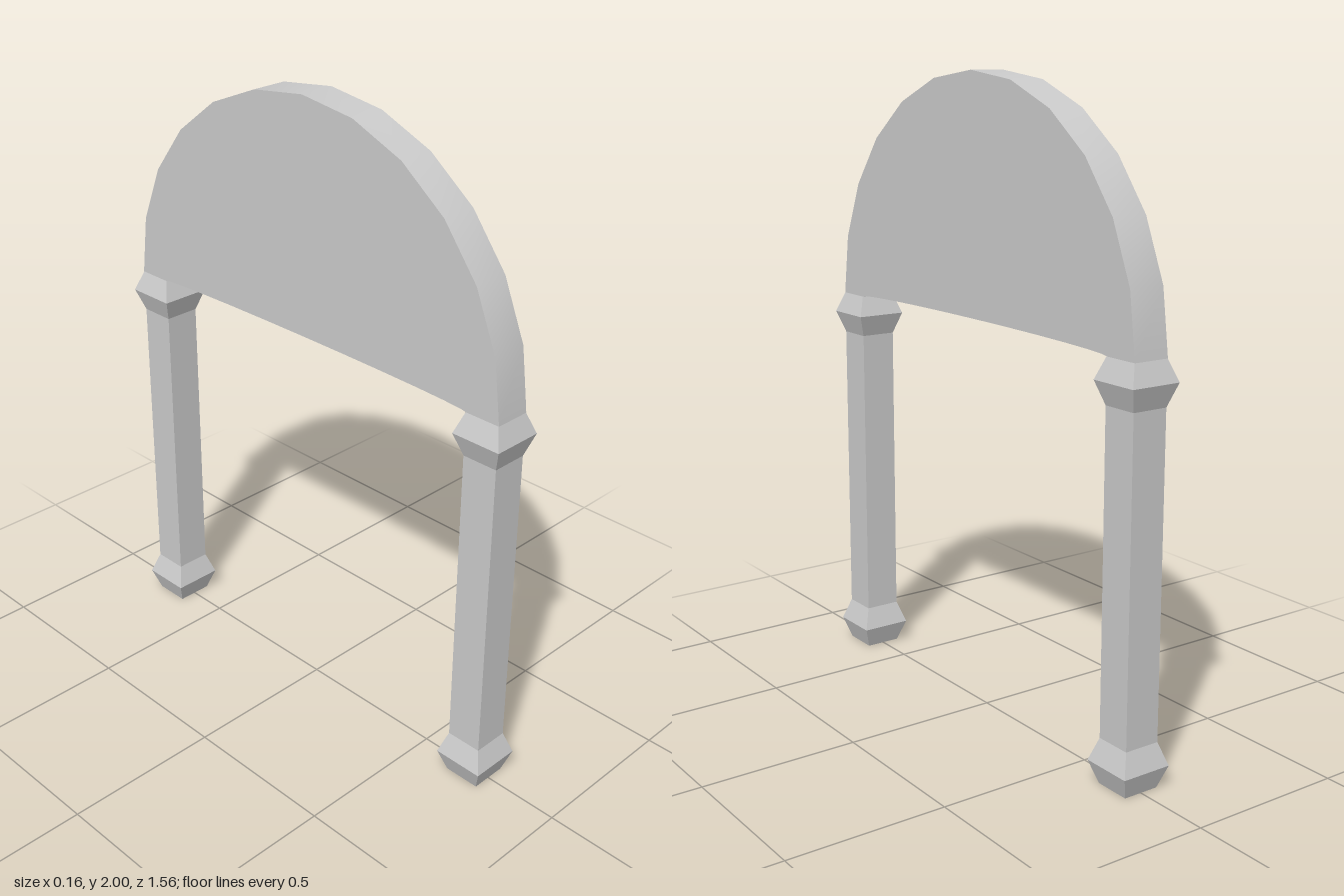
import * as THREE from 'three';
import { toCreasedNormals } from 'three/addons/utils/BufferGeometryUtils.js';

const HALF = 0.058;   // half width of shaft and arch
const FLARE = 0.082;  // half width at the collars
const SPRING = 1.25;  // height where the arch starts

// Square post, open at both ends, with a flared collar at foot and head
function createPost(material) {
  const profile = [
    [HALF, 0], [FLARE, 0.07], [HALF, 0.14],
    [HALF, 1.115], [FLARE, 1.185], [HALF, SPRING],
  ].map(([half, y]) => new THREE.Vector2(half * Math.SQRT2, y));
  return new THREE.Mesh(new THREE.LatheGeometry(profile, 4, Math.PI / 4), material);
}

// Half-round panel: 12-sided outer curve, very shallow curve underneath
function createArch(material) {
  const segments = 12;
  const points = [];
  for (let i = 0; i <= segments; i++) {
    const a = (i / segments) * Math.PI;
    points.push(new THREE.Vector2(0.755 * Math.cos(a), SPRING + 0.75 * Math.sin(a)));
  }
  for (let i = segments; i >= 0; i--) {
    const a = (i / segments) * Math.PI;
    points.push(new THREE.Vector2(0.64 * Math.cos(a), SPRING + 0.015 * Math.sin(a)));
  }
  const geometry = new THREE.ExtrudeGeometry(new THREE.Shape(points), {
    depth: HALF * 2, bevelEnabled: false,
  });
  geometry.translate(0, 0, -HALF);
  geometry.rotateY(Math.PI / 2);
  return new THREE.Mesh(toCreasedNormals(geometry, 0.6), material);
}

export function createModel() {
  const model = new THREE.Group();
  model.name = 'archway';

  const postMaterial = new THREE.MeshStandardMaterial({
    color: 0xcccccc, flatShading: true, side: THREE.DoubleSide,
  });
  const archMaterial = new THREE.MeshStandardMaterial({ color: 0xcccccc });

  for (const [name, side] of [['frontPost', 1], ['backPost', -1]]) {
    const post = createPost(postMaterial);
    post.name = name;
    post.position.z = side * 0.696;
    model.add(post);
  }

  const arch = createArch(archMaterial);
  arch.name = 'archPanel';
  model.add(arch);

  return model;
}
